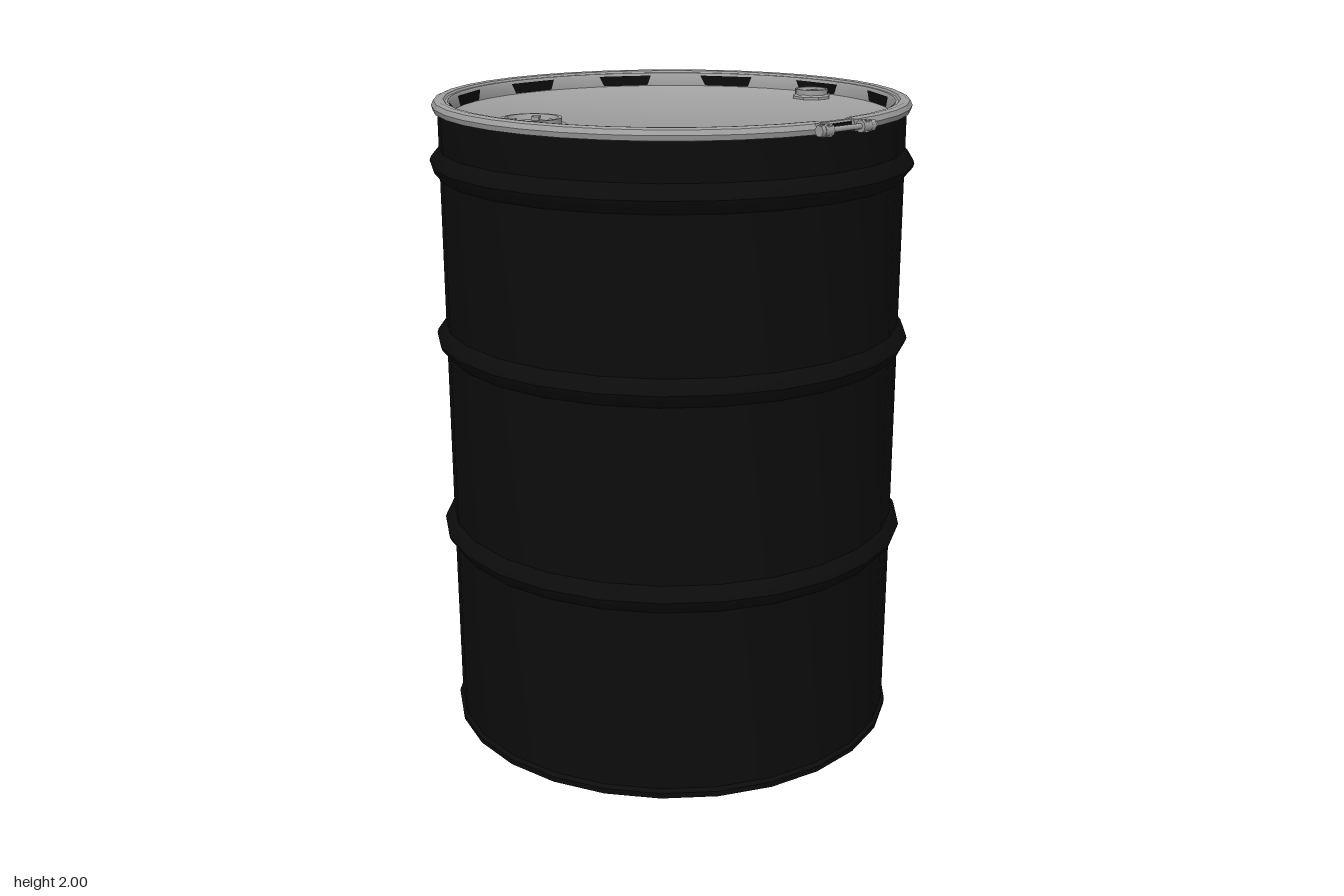
import * as THREE from 'three';
import { toCreasedNormals } from 'three/addons/utils/BufferGeometryUtils.js';

const CENTER_Z = -0.017;

export function createModel() {
  const black = new THREE.MeshStandardMaterial({ color: 0x0c0c0c });
  black.name = 'black paint';
  const steel = new THREE.MeshStandardMaterial({ color: 0xa0a0a0 });
  steel.name = 'grey steel';

  const model = new THREE.Group();
  model.name = 'drum';
  const barrel = new THREE.Group();
  barrel.name = 'barrel';
  barrel.position.z = CENTER_Z;
  model.add(barrel);

  const add = (parent, name, geometry, material, x = 0, y = 0, z = 0) => {
    const mesh = new THREE.Mesh(geometry, material);
    mesh.name = name;
    mesh.position.set(x, y, z);
    parent.add(mesh);
    return mesh;
  };
  const lathe = (profile, sides, start = 0, length = Math.PI * 2) =>
    toCreasedNormals(
      new THREE.LatheGeometry(profile.map(([r, y]) => new THREE.Vector2(r, y)), sides, start, length), 0.6);

  // Barrel wall with a bottom rim and three rolled ribs
  const wall = [[0, 0.012], [0.685, 0.012], [0.695, 0], [0.714, 0.004], [0.716, 0.022], [0.706, 0.032]];
  for (const y of [0.65, 1.27, 1.81]) {
    wall.push([0.708, y - 0.042], [0.733, y - 0.012], [0.737, y], [0.733, y + 0.012], [0.708, y + 0.042]);
  }
  wall.push([0.708, 1.975], [0.7, 1.985], [0.685, 1.985]);
  add(barrel, 'wall', lathe(wall, 26), black);

  // Faceted inner lip, showing through the lid skirt in places
  const lip = new THREE.CylinderGeometry(0.686, 0.686, 0.032, 12, 1, true);
  lip.rotateY(THREE.MathUtils.degToRad(20));
  const lipMaterial = black.clone();
  lipMaterial.side = THREE.DoubleSide;
  add(barrel, 'innerLip', lip, lipMaterial, 0, 1.968, 0);

  // Recessed lid
  add(barrel, 'lid', lathe(
    [[0.692, 1.986], [0.69, 1.992], [0.675, 1.992], [0.67, 1.985], [0.668, 1.95], [0.66, 1.945], [0, 1.947]], 48), steel);

  // Clamp band, open at the front
  const gap = 0.085;
  add(barrel, 'clampBand', lathe(
    [[0.705, 1.963], [0.72, 1.966], [0.724, 1.981], [0.717, 1.995], [0.705, 2], [0.688, 1.998],
      [0.68, 1.988], [0.69, 1.98], [0.705, 1.963]], 36, gap, Math.PI * 2 - gap * 2), steel);

  // Bolt and lugs closing the band
  const clamp = new THREE.Group();
  clamp.name = 'clampBolt';
  clamp.position.set(0, 1.981, 0.73);
  model.add(clamp);
  const rod = (name, radius, length, x, sides) =>
    add(clamp, name, new THREE.CylinderGeometry(radius, radius, length, sides).rotateZ(Math.PI / 2), steel, x);
  rod('bolt', 0.008, 0.215, 0.01, 8);
  rod('boltHead', 0.017, 0.014, -0.092, 6);
  rod('nut', 0.017, 0.016, 0.096, 6);
  for (const side of [-1, 1]) {
    add(clamp, 'lug', new THREE.BoxGeometry(0.016, 0.032, 0.055), steel, side * 0.071, 0, -0.014);
    rod('lugBarrel', 0.018, 0.03, side * 0.071, 10);
  }

  // Octagonal bungs: flange, raised collar and sunken cap
  const bung = (name, x, r) => {
    const group = new THREE.Group();
    group.name = name;
    group.position.set(x, 1.945, 0);
    barrel.add(group);
    add(group, 'flange', lathe([[r, 0], [r, 0.008], [r * 0.86, 0.014], [r * 0.8, 0.014]], 8, Math.PI / 8), steel);
    add(group, 'collar', lathe(
      [[r * 0.84, 0.01], [r * 0.84, 0.03], [r * 0.74, 0.03], [r * 0.68, 0.014], [0, 0.014]], 16), steel);
    return group;
  };
  // Large bung with four inner grip lugs
  const large = bung('largeBung', -0.512, 0.104);
  for (let i = 0; i < 4; i++) {
    const a = i * Math.PI / 2 + Math.PI / 4;
    const grip = add(large, 'gripLug', new THREE.BoxGeometry(0.022, 0.012, 0.026), steel,
      Math.sin(a) * 0.06, 0.019, Math.cos(a) * 0.06);
    grip.rotation.y = a;
  }
  // Small bung with two cross bars
  const small = bung('smallBung', 0.583, 0.063);
  for (const side of [-1, 1]) {
    add(small, 'crossBar', new THREE.BoxGeometry(0.07, 0.01, 0.008), steel, 0, 0.02, side * 0.013);
  }
  return model;
}
